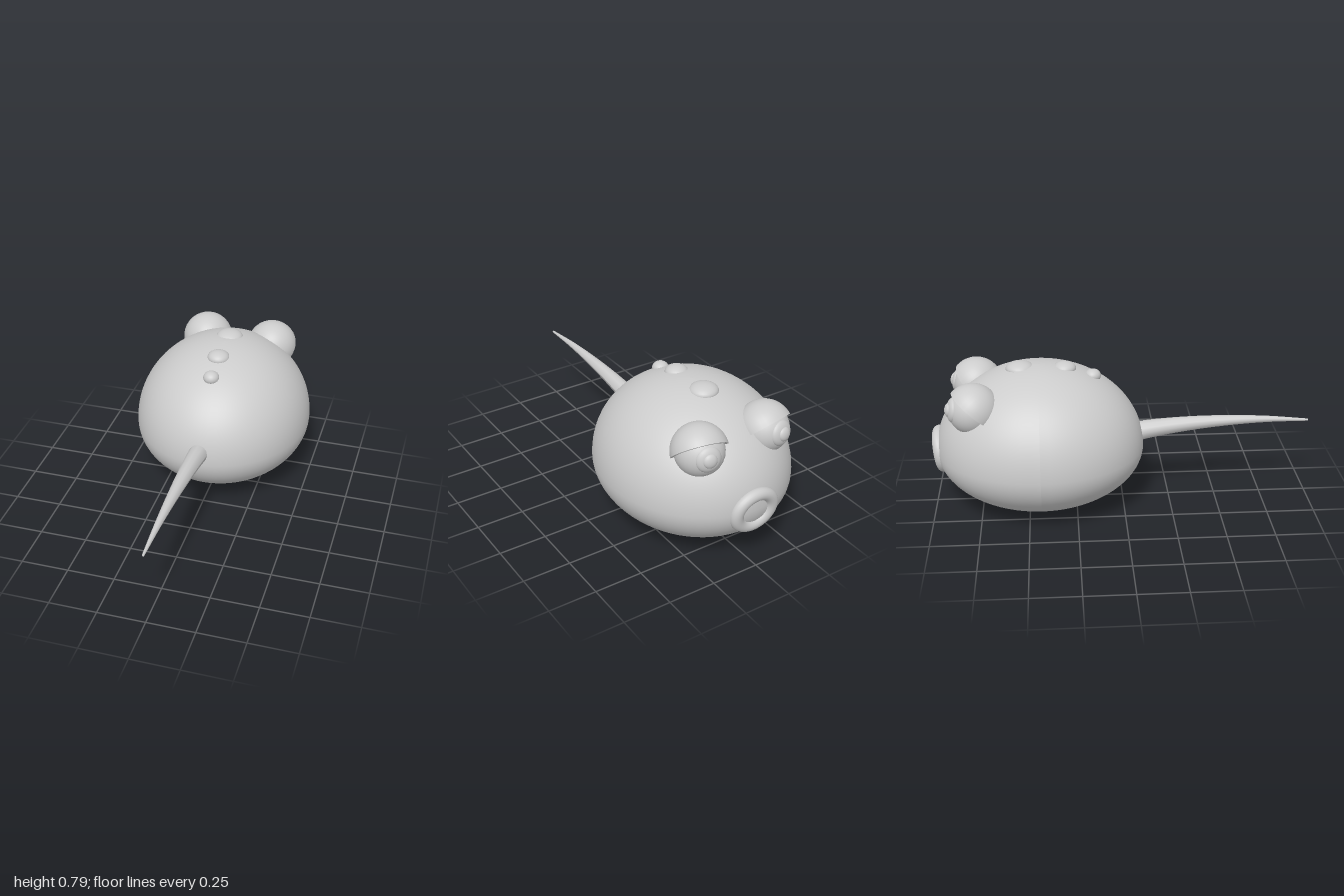
import * as THREE from 'three';

const material = new THREE.MeshStandardMaterial({ color: 0xcccccc, side: THREE.DoubleSide });

function add(parent, name, geometry, x = 0, y = 0, z = 0) {
  const mesh = new THREE.Mesh(geometry, material);
  mesh.name = name;
  mesh.position.set(x, y, z);
  parent.add(mesh);
  return mesh;
}

// Egg body: shallow below the equator, taller above it
function bodyGeometry() {
  const g = new THREE.SphereGeometry(1, 64, 48);
  const p = g.attributes.position;
  for (let i = 0; i < p.count; i++) {
    const y = p.getY(i);
    p.setXYZ(i, p.getX(i) * 0.48, 0.32 + y * (y > 0 ? 0.453 : 0.317), p.getZ(i) * 0.545 - 0.435);
  }
  g.computeVertexNormals();
  return g;
}

// Tapering tube swept along the tail curve, closed at the tip
function tailGeometry() {
  const curve = new THREE.CatmullRomCurve3([
    [0, 0.36, 0], [0, 0.385, 0.11], [0, 0.413, 0.33], [0, 0.427, 0.55], [0, 0.429, 0.77], [0, 0.418, 0.998],
  ].map((a) => new THREE.Vector3(...a)));
  const rings = 24, sides = 12;
  const g = new THREE.TubeGeometry(curve, rings, 1, sides, false);
  const p = g.attributes.position, v = new THREE.Vector3();
  for (let i = 0; i <= rings; i++) {
    const t = i / rings, c = curve.getPointAt(t);
    const r = THREE.MathUtils.lerp(0.056, 0.006, t);
    for (let j = 0; j <= sides; j++) {
      const k = i * (sides + 1) + j;
      v.fromBufferAttribute(p, k).sub(c).multiplyScalar(r).add(c);
      p.setXYZ(k, v.x, v.y, v.z);
    }
  }
  g.computeVertexNormals();
  return g;
}

// Thick spherical cap: outer shell, flat rim, inner shell
function lidGeometry(outer, inner, angle) {
  const arc = (r, from, to) => Array.from({ length: 17 }, (_, i) => {
    const a = from + (to - from) * i / 16;
    return new THREE.Vector2(r * Math.sin(a), r * Math.cos(a));
  });
  const shells = [arc(inner, 0, angle), arc(outer, angle, 0)];
  const group = new THREE.Group();
  for (const pts of [...shells, [shells[0][16], shells[1][0]]]) {
    add(group, 'lidSurface', new THREE.LatheGeometry(pts, 32));
  }
  return group;
}

function createEye(side) {
  const eye = new THREE.Group();
  eye.name = side > 0 ? 'leftEye' : 'rightEye';
  eye.position.set(side * 0.19, 0.603, -0.77);
  eye.rotation.y = -side * 0.2;
  add(eye, 'eyeball', new THREE.SphereGeometry(0.122, 32, 24));

  // Eyelids open towards the face
  const upper = lidGeometry(0.14, 0.124, Math.PI / 2);
  upper.name = 'upperLid';
  upper.rotation.x = 0.75;
  const lower = lidGeometry(0.137, 0.124, 1.2);
  lower.name = 'lowerLid';
  lower.rotation.x = Math.PI - 0.68;
  eye.add(upper, lower);

  // Stacked domes for iris and pupil, looking slightly upward
  const gaze = new THREE.Group();
  gaze.name = 'gaze';
  gaze.rotation.x = 0.14;
  eye.add(gaze);
  add(gaze, 'iris', new THREE.SphereGeometry(0.064, 32, 16), 0, 0, -0.1).scale.z = 0.48;
  add(gaze, 'pupil', new THREE.SphereGeometry(0.036, 24, 16), 0, 0, -0.121).scale.z = 0.58;
  return eye;
}

export function createModel() {
  const model = new THREE.Group();
  model.name = 'tadpoleCreature';
  add(model, 'body', bodyGeometry());
  add(model, 'tail', tailGeometry());
  for (const side of [1, -1]) model.add(createEye(side));

  // Ring-shaped mouth
  const mouth = add(model, 'mouth', new THREE.TorusGeometry(0.092, 0.032, 20, 48), 0, 0.31, -0.959);
  mouth.rotation.x = -0.13;
  mouth.scale.x = 1.1;

  // Row of bumps shrinking down the back
  for (const [z, y, r] of [[-0.53, 0.752, 0.074], [-0.3, 0.747, 0.06], [-0.155, 0.703, 0.043]]) {
    add(model, 'backBump', new THREE.SphereGeometry(r, 28, 16), 0, y, z).scale.y = 0.033 / r + 0.06;
  }
  return model;
}
